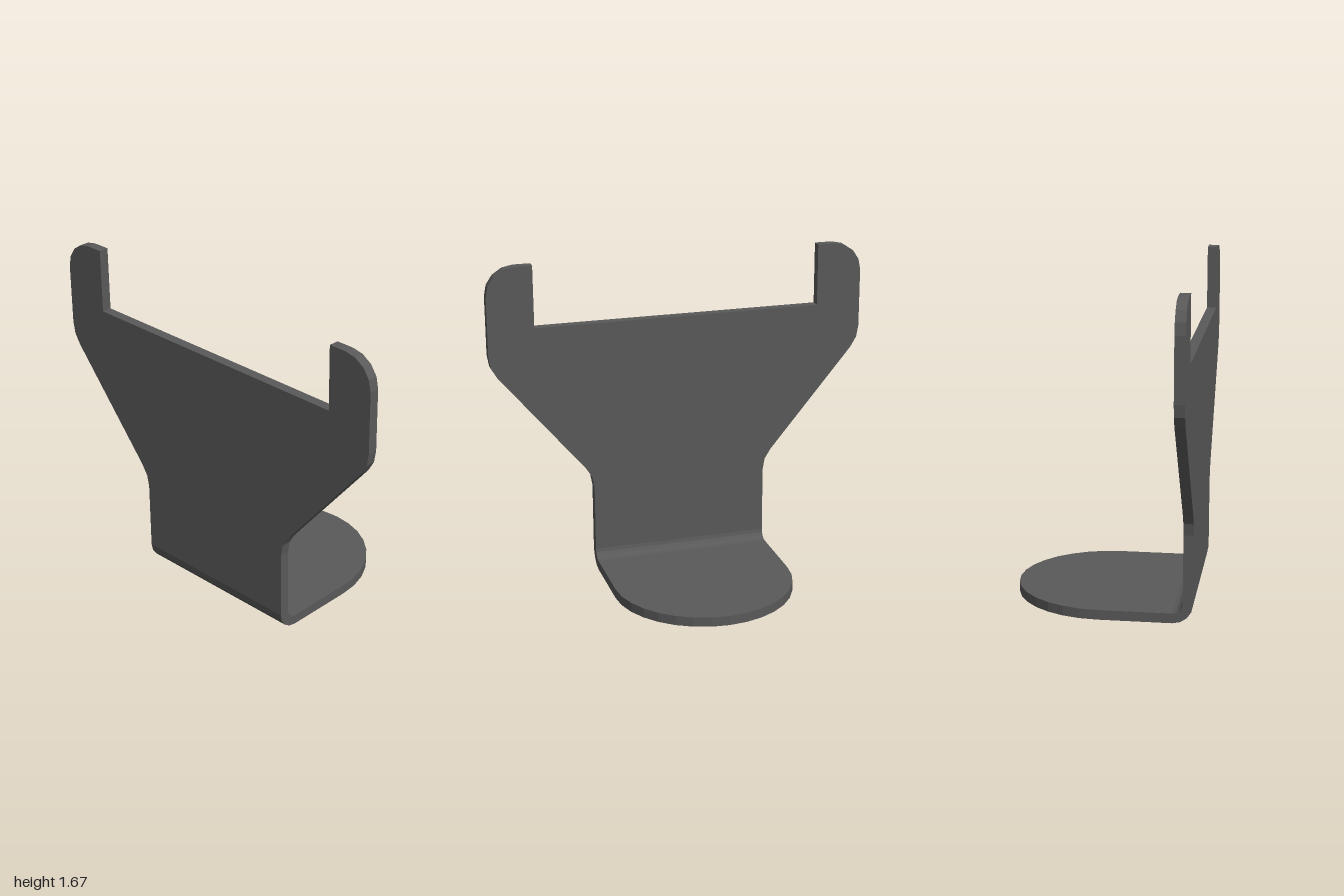
import * as THREE from 'three';

const T = 0.05;      // sheet thickness
const HALF = 0.468;  // half width of the foot
const BACK = -0.468; // outer face of the upright
const R = 0.1;       // outer bend radius

export function createModel() {
  const group = new THREE.Group();
  group.name = 'bracket';
  const material = new THREE.MeshStandardMaterial({ color: 0x595959, flatShading: true });

  const extrude = (name, shape, depth, curveSegments, place) => {
    const geometry = new THREE.ExtrudeGeometry(shape, { depth, curveSegments, bevelEnabled: false });
    place(geometry);
    const mesh = new THREE.Mesh(geometry, material);
    mesh.name = name;
    group.add(mesh);
  };

  // Upright: narrow neck flaring to a wide fork with two prongs
  const plate = new THREE.Shape();
  plate.moveTo(-HALF, R);
  plate.lineTo(HALF, R);
  plate.lineTo(HALF, 0.45);
  plate.quadraticCurveTo(HALF, 0.515, 0.512, 0.565);
  plate.lineTo(0.958, 1.102);
  plate.quadraticCurveTo(1, 1.152, 1, 1.217);
  plate.lineTo(1, 1.525);
  plate.absarc(0.85, 1.525, 0.15, 0, Math.PI / 2, false);
  plate.lineTo(0.76, 1.675);
  plate.lineTo(0.76, 1.35);
  plate.lineTo(-0.76, 1.35);
  plate.lineTo(-0.76, 1.675);
  plate.lineTo(-0.85, 1.675);
  plate.absarc(-0.85, 1.525, 0.15, Math.PI / 2, Math.PI, false);
  plate.lineTo(-1, 1.217);
  plate.quadraticCurveTo(-1, 1.152, -0.958, 1.102);
  plate.lineTo(-0.512, 0.565);
  plate.quadraticCurveTo(-HALF, 0.515, -HALF, 0.45);
  plate.closePath();
  extrude('uprightPlate', plate, T, 2, g => g.rotateY(Math.PI / 2).translate(BACK, 0, 0));

  // Quarter-round bend joining upright and foot
  const bend = new THREE.Shape();
  bend.absarc(BACK + R, R, R, Math.PI, Math.PI * 1.5, false);
  bend.absarc(BACK + R, R, R - T, Math.PI * 1.5, Math.PI, true);
  bend.closePath();
  extrude('bend', bend, HALF * 2, 2, g => g.translate(0, 0, -HALF));

  // Foot: flat tongue with a semicircular end
  const foot = new THREE.Shape();
  foot.moveTo(BACK + R, -HALF);
  foot.lineTo(0, -HALF);
  foot.absarc(0, 0, HALF, -Math.PI / 2, Math.PI / 2, false);
  foot.lineTo(BACK + R, HALF);
  foot.closePath();
  extrude('foot', foot, T, 8, g => g.rotateX(-Math.PI / 2));

  return group;
}
